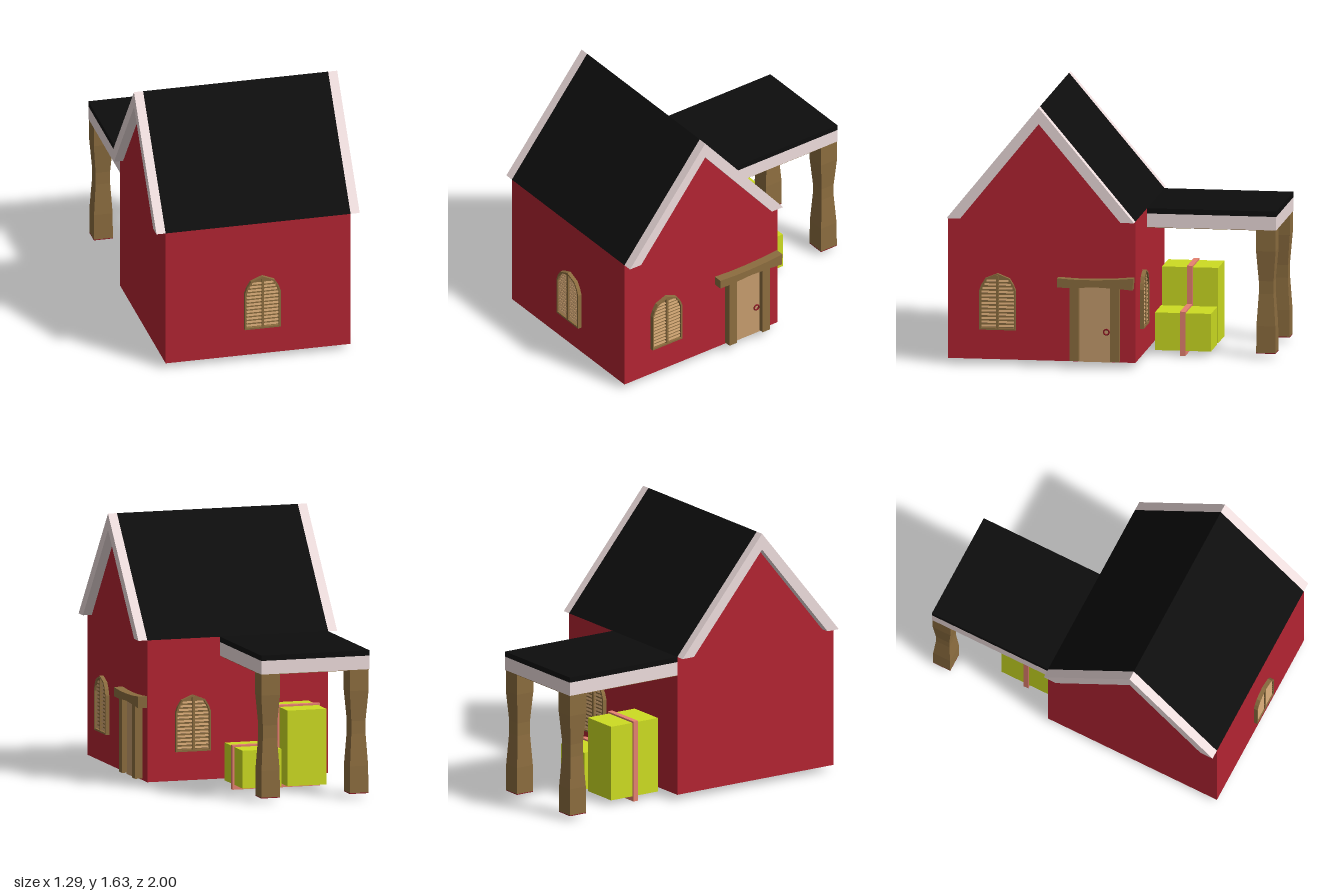
import * as THREE from 'three';

const mat = (color, extra = {}) => new THREE.MeshStandardMaterial({ color, flatShading: true, ...extra });
const RED = mat(0xb32432), BLACK = mat(0x0d0d0d), WHITE = mat(0xeedddd), WOOD = mat(0x8c6d3f),
  TAN = mat(0xc69c6d), LIME = mat(0xcddd22), PINK = mat(0xe68270), CRIMSON = mat(0x8c1c26);

function add(parent, name, geometry, material) {
  const mesh = new THREE.Mesh(geometry, material);
  mesh.name = name;
  parent.add(mesh);
  return mesh;
}

// Box given by its minimum and maximum corners
function box(parent, name, material, [x0, y0, z0], [x1, y1, z1]) {
  const g = new THREE.BoxGeometry(x1 - x0, y1 - y0, z1 - z0);
  g.translate((x0 + x1) / 2, (y0 + y1) / 2, (z0 + z1) / 2);
  return add(parent, name, g, material);
}

const shapeOf = (pts) => new THREE.Shape(pts.map(([x, y]) => new THREE.Vector2(x, y)));
const extrude = (shape, depth) => new THREE.ExtrudeGeometry(shape, { depth, bevelEnabled: false });

// Profile given as [z, y] points, extruded along x from x0 to x1
function extrudeX(pts, x0, x1) {
  const g = extrude(shapeOf(pts.map(([z, y]) => [-z, y])), x1 - x0);
  g.rotateY(Math.PI / 2);
  g.translate(x0, 0, 0);
  return g;
}

// Arched outline, half width w, sides up to s, peak at h, starting at y = b
const arch = (w, b, s, h) => [[-w, b], [w, b], [w, s], [w * 0.88, s + (h - s) * 0.35],
  [w * 0.66, s + (h - s) * 0.72], [0, h], [-w * 0.66, s + (h - s) * 0.72], [-w * 0.88, s + (h - s) * 0.35], [-w, s]];

// Arched louvred window facing +z, standing on y = 0
function makeWindow(name) {
  const g = new THREE.Group();
  g.name = name;
  const W = 0.114, H = 0.353, S = 0.245, rim = 0.011;
  const outline = shapeOf(arch(W, 0, S, H));
  outline.holes.push(new THREE.Path(arch(W - rim, rim, S, H - rim).map(([x, y]) => new THREE.Vector2(x, y))));
  add(g, 'windowFrame', extrude(outline, 0.025), WOOD);
  add(g, 'windowBacking', extrude(shapeOf(arch(W - rim / 2, 0.004, S, H - 0.004)), 0.006), WOOD);
  box(g, 'windowCentreBar', WOOD, [-0.008, 0.004, 0], [0.008, H - 0.014, 0.024]);
  // slats follow the width of the arch
  for (let i = 0; i < 13; i++) {
    const y = 0.024 + i * 0.0235;
    const t = Math.max(0, (y + 0.012 - S) / (H - S));
    const half = (W - rim) * (t < 0.35 ? 1 - t * 0.34 : t < 0.72 ? 0.88 - (t - 0.35) * 0.6 : 0.66 * (1 - t) / 0.28);
    for (const side of [-1, 1]) {
      const width = half - 0.01;
      if (width < 0.015) continue;
      const slat = add(g, 'slat', new THREE.BoxGeometry(width, 0.013, 0.006), TAN);
      slat.position.set(side * (0.008 + width / 2), y, 0.013);
      slat.rotation.x = -0.45;
    }
  }
  return g;
}

// Square post with a narrow waist
function makePost(x, z) {
  const g = new THREE.Group();
  g.name = 'canopyPost';
  const r = Math.SQRT1_2;
  const pts = [[0, 0.032], [0.12, 0.032], [0.118, 0.2], [0.092, 0.4], [0.092, 0.48], [0.122, 0.67], [0.122, 0.8], [0, 0.8]]
    .map(([w, y]) => new THREE.Vector2(w * r, y));
  const geo = new THREE.LatheGeometry(pts, 4).toNonIndexed();
  geo.rotateY(Math.PI / 4);
  geo.computeVertexNormals();
  add(g, 'postShaft', geo, WOOD);
  box(g, 'postFoot', CRIMSON, [-0.06, 0.028, -0.06], [0.06, 0.033, 0.06]);
  g.position.set(x, 0, z);
  return g;
}

// Wrapped box with a ribbon loop around its middle
function makeParcel(x, y) {
  const g = new THREE.Group();
  g.name = 'parcel';
  box(g, 'parcelBox', LIME, [-0.126, 0, -0.175], [0.126, 0.236, 0.175]);
  const loop = shapeOf([[-0.139, -0.03], [0.139, -0.03], [0.139, 0.247], [-0.139, 0.247]]);
  loop.holes.push(new THREE.Path([[-0.124, 0.002], [0.124, 0.002], [0.124, 0.234], [-0.124, 0.234]]
    .map(([a, b]) => new THREE.Vector2(a, b))));
  const ribbon = add(g, 'ribbon', extrude(loop, 0.034), PINK);
  ribbon.position.z = -0.017;
  g.position.set(x, y, -0.416);
  return g;
}

export function createModel() {
  const model = new THREE.Group();
  model.name = 'barnHouse';
  const X0 = -0.59, X1 = 0.585, ZF = 0.975, ZB = -0.195, EAVE = 0.92, MID = 0.4;

  // walls and gables
  add(model, 'walls', extrudeX([[ZF, 0.035], [ZF, EAVE], [0.89, EAVE], [MID, 1.525],
    [-0.11, EAVE], [ZB, EAVE], [ZB, 0.035]].reverse(), X0, X1), RED);

  // roof and the pale trim on both gable ends
  const chevron = [[ZF, EAVE], [MID, 1.627], [ZB, EAVE], [-0.11, EAVE], [MID, 1.525], [0.89, EAVE]];
  add(model, 'roof', extrudeX(chevron, X0, X1), BLACK);
  add(model, 'gableTrimRight', extrudeX(chevron, -0.648, X0), WHITE);
  add(model, 'gableTrimLeft', extrudeX(chevron, X1, 0.643), WHITE);

  // windows: front, left side and back
  const front = makeWindow('frontWindow');
  front.position.set(0.022, 0.215, ZF);
  const side = makeWindow('sideWindow');
  side.position.set(X1, 0.222, 0.663);
  side.rotation.y = Math.PI / 2;
  const back = makeWindow('backWindow');
  back.position.set(0.293, 0.217, ZB);
  back.rotation.y = Math.PI;
  model.add(front, side, back);

  // door with posts, bowed lintel and ring handle
  const door = new THREE.Group();
  door.name = 'door';
  model.add(door);
  box(door, 'doorPanel', TAN, [0.58, 0.037, -0.05], [0.603, 0.51, 0.16]);
  for (const [z0, z1] of [[0.152, 0.208], [-0.1, -0.045]]) {
    add(door, 'doorPost', extrudeX([[z0, 0.045], [z1, 0.045], [z1, 0.508],
      [z0, 0.508]].map(([z, y]) => [z, y]).reverse(), 0.58, 0.634), WOOD);
  }
  add(door, 'lintel', extrudeX([[0.285, 0.505], [0.2, 0.503], [0.05, 0.512], [-0.1, 0.505], [-0.185, 0.498],
    [-0.19, 0.572], [-0.08, 0.562], [0.05, 0.556], [0.17, 0.556], [0.285, 0.562]], 0.58, 0.643), WOOD);
  const ring = add(door, 'handleRing', new THREE.TorusGeometry(0.017, 0.005, 8, 20), CRIMSON);
  ring.rotation.y = Math.PI / 2;
  ring.position.set(0.608, 0.227, -0.017);

  // canopy behind the house
  const canopy = new THREE.Group();
  canopy.name = 'canopy';
  model.add(canopy);
  box(canopy, 'canopyTop', BLACK, [X0, 0.887, -1], [0.112, EAVE, ZB]);
  box(canopy, 'canopyFascia', WHITE, [X0, 0.802, -1], [0.112, 0.887, ZB]);
  box(canopy, 'canopyCeiling', WOOD, [X0 + 0.002, 0.799, -0.998], [0.11, 0.803, ZB]);
  for (const x of [-0.525, 0.05]) canopy.add(makePost(x, -0.935));

  // two parcels stacked and one beside them
  for (const [x, y] of [[-0.32, 0.03], [-0.32, 0.266], [-0.028, 0.03]]) model.add(makeParcel(x, y));

  return model;
}
